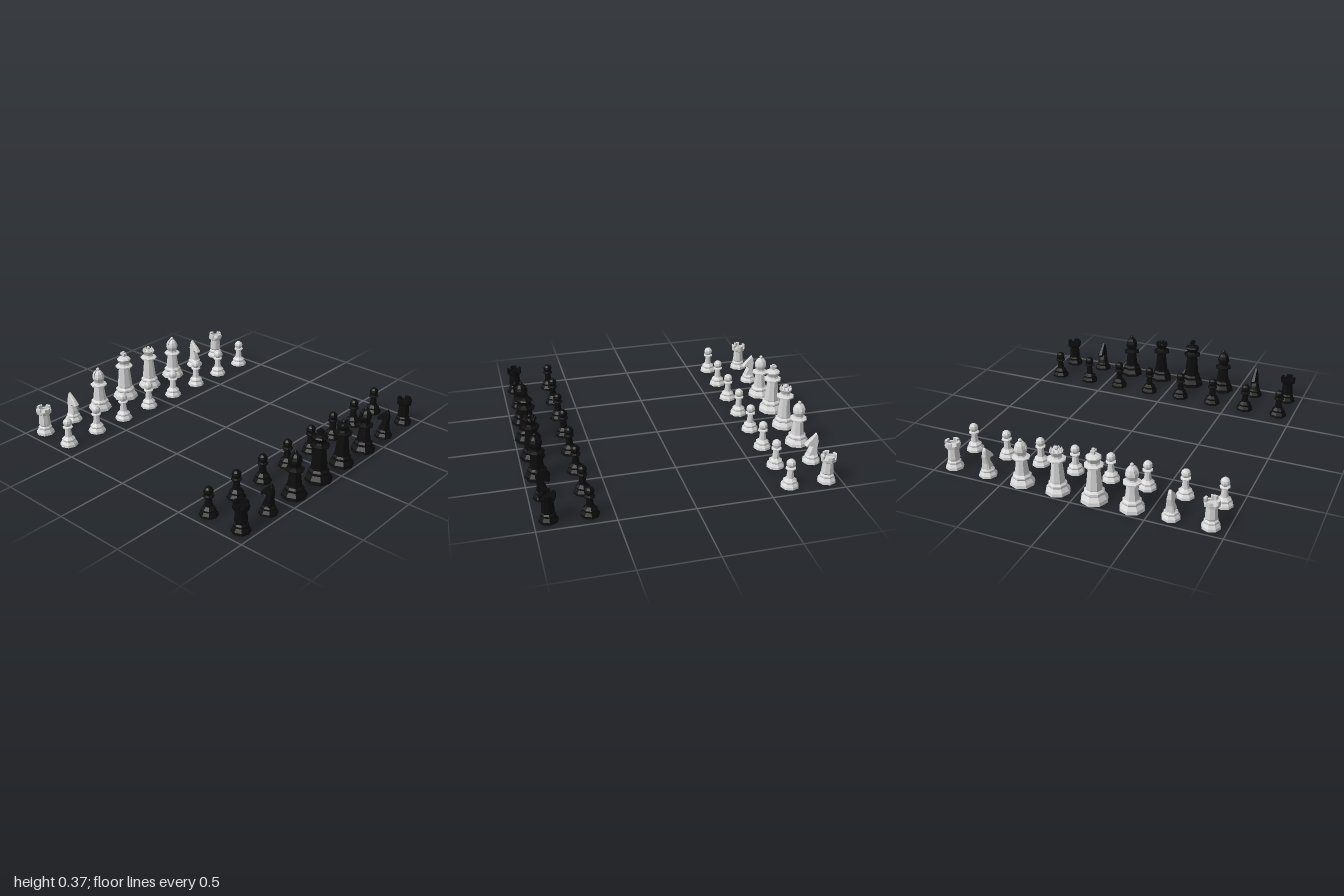
import * as THREE from 'three';
import { mergeGeometries } from 'three/addons/utils/BufferGeometryUtils.js';

const SIDES = 8;

// Faceted copy of a geometry, reduced to position and normal
function flat(geo) {
  const g = geo.index ? geo.toNonIndexed() : geo;
  g.deleteAttribute('uv');
  g.deleteAttribute('normal');
  g.clearGroups();
  g.computeVertexNormals();
  return g;
}

const points = list => list.map(([r, y]) => new THREE.Vector2(r, y));
const turned = (list, start = 0, length = Math.PI * 2, sides = SIDES) =>
  flat(new THREE.LatheGeometry(points(list), sides, start, length));
const ball = (r, y, x = 0, z = 0) =>
  flat(new THREE.SphereGeometry(r, SIDES, 6).rotateY(Math.PI / 2).translate(x, y, z));
const box = (w, h, d, y) => flat(new THREE.BoxGeometry(w, h, d).translate(0, y, 0));

// Stepped foot shared by every piece: r = radius, h = height
const foot = (r, h) => [
  [0, 0], [r, 0], [r * 0.95, h * 0.28], [r * 0.72, h * 0.62],
  [r * 0.76, h * 0.72], [r * 0.74, h * 0.85], [r * 0.58, h],
];

function pawn() {
  return {
    body: turned([...foot(0.062, 0.055), [0.026, 0.065], [0.019, 0.125], [0.035, 0.13],
      [0.035, 0.137], [0.016, 0.145], [0, 0.145]]),
    head: ball(0.032, 0.167),
  };
}

function rook() {
  // Battlements: four bent blocks with gaps on the diagonals
  const merlons = [];
  for (let i = 0; i < 4; i++) {
    const mid = i * Math.PI / 2, a = 0.46;
    const outer = 0.054, inner = 0.037;
    const at = (r, t) => new THREE.Vector2(r * Math.cos(mid + t), r * Math.sin(mid + t));
    const shape = new THREE.Shape([at(outer * 0.95, -a), at(outer, 0), at(outer * 0.95, a),
      at(inner * 0.95, a), at(inner, 0), at(inner * 0.95, -a)]);
    merlons.push(flat(new THREE.ExtrudeGeometry(shape, { depth: 0.022, bevelEnabled: false })
      .rotateX(-Math.PI / 2).translate(0, 0.175, 0)));
  }
  return {
    body: turned([...foot(0.063, 0.06), [0.042, 0.07], [0.036, 0.145], [0.052, 0.156],
      [0.054, 0.175], [0.037, 0.175], [0.037, 0.165], [0, 0.165]]),
    battlements: mergeGeometries(merlons),
  };
}

function knight() {
  // Side outline (forward, up), extruded and thinned toward the ear
  const outline = points([[-0.034, 0.05], [0.034, 0.05], [0.026, 0.08], [0.008, 0.118],
    [0.02, 0.126], [0.044, 0.115], [0.054, 0.13], [0.03, 0.162], [0.002, 0.188],
    [-0.022, 0.212], [-0.034, 0.19], [-0.04, 0.15], [-0.032, 0.1]]);
  const horse = new THREE.ExtrudeGeometry(new THREE.Shape(outline), {
    depth: 0.032, bevelEnabled: true, bevelSegments: 1,
    bevelThickness: 0.01, bevelSize: 0.006, bevelOffset: -0.006,
  }).translate(0, 0, -0.016).rotateY(-Math.PI / 2);
  const p = horse.attributes.position;
  for (let i = 0; i < p.count; i++) {
    const t = THREE.MathUtils.clamp((p.getY(i) - 0.05) / 0.16, 0, 1);
    p.setX(i, p.getX(i) * (1.15 - 0.75 * t));
  }
  return {
    base: turned([...foot(0.063, 0.055), [0.034, 0.06], [0, 0.06]]),
    horseHead: flat(horse),
  };
}

function bishop() {
  // Mitre top split by a slot that runs from side to side
  const dome = [[0.041, 0.262], [0.033, 0.284], [0.02, 0.3], [0, 0.31]];
  const capShape = new THREE.Shape(points([...dome, ...dome.slice(0, 3).reverse().map(([r, y]) => [-r, y])]));
  const half = mergeGeometries([
    turned(dome, -Math.PI / 2, Math.PI, SIDES / 2),
    flat(new THREE.ShapeGeometry(capShape).rotateY(Math.PI)),
  ]).translate(0, 0, 0.004);
  return {
    body: turned([...foot(0.085, 0.075), [0.047, 0.085], [0.035, 0.18], [0.06, 0.187],
      [0.06, 0.196], [0.036, 0.205], [0.033, 0.216], [0.045, 0.245], [0.043, 0.262], [0, 0.262]]),
    mitre: mergeGeometries([half, half.clone().rotateY(Math.PI)]),
    finial: ball(0.013, 0.312),
  };
}

function queen() {
  // Ring of crown points around the central ball
  const tips = [];
  for (let i = 0; i < SIDES; i++) {
    const a = i * Math.PI * 2 / SIDES;
    tips.push(flat(new THREE.ConeGeometry(0.014, 0.026, 4)
      .translate(0.035 * Math.sin(a), 0.306, 0.035 * Math.cos(a))));
  }
  return {
    body: turned([...foot(0.085, 0.075), [0.05, 0.085], [0.035, 0.222], [0.062, 0.232],
      [0.062, 0.242], [0.037, 0.25], [0.032, 0.262], [0.047, 0.295], [0.034, 0.295],
      [0.02, 0.303], [0, 0.306]]),
    crownPoints: mergeGeometries(tips),
    finial: ball(0.015, 0.315),
  };
}

function king() {
  return {
    body: turned([...foot(0.093, 0.085), [0.055, 0.095], [0.04, 0.236], [0.064, 0.247],
      [0.064, 0.257], [0.042, 0.265], [0.037, 0.277], [0.053, 0.31], [0.045, 0.318],
      [0.016, 0.328], [0, 0.328]]),
    cross: mergeGeometries([box(0.018, 0.046, 0.018, 0.345), box(0.028, 0.014, 0.042, 0.351)]),
  };
}

export function createModel() {
  const group = new THREE.Group();
  const black = new THREE.MeshStandardMaterial({ color: 0x0c0c0c });
  black.name = 'black';
  const white = new THREE.MeshStandardMaterial({ color: 0xd6d6d6 });
  white.name = 'white';

  const kinds = { pawn: pawn(), rook: rook(), knight: knight(), bishop: bishop(), queen: queen(), king: king() };
  const backRow = ['rook', 'knight', 'bishop', 'king', 'queen', 'bishop', 'knight', 'rook'];

  function place(kind, material, x, z) {
    const piece = new THREE.Group();
    piece.name = `${material.name} ${kind}`;
    for (const [name, geometry] of Object.entries(kinds[kind])) {
      const mesh = new THREE.Mesh(geometry, material);
      mesh.name = name;
      piece.add(mesh);
    }
    piece.position.set(x, 0, z);
    if (z > 0) piece.rotation.y = Math.PI; // each side faces the other
    group.add(piece);
  }

  // Two facing armies, kings opposite kings
  for (const [material, side] of [[black, 1], [white, -1]]) {
    backRow.forEach((kind, i) => {
      const x = (i - 3.5) * 0.2555;
      place(kind, material, x, side * 0.907);
      place('pawn', material, x, side * 0.651);
    });
  }
  return group;
}
